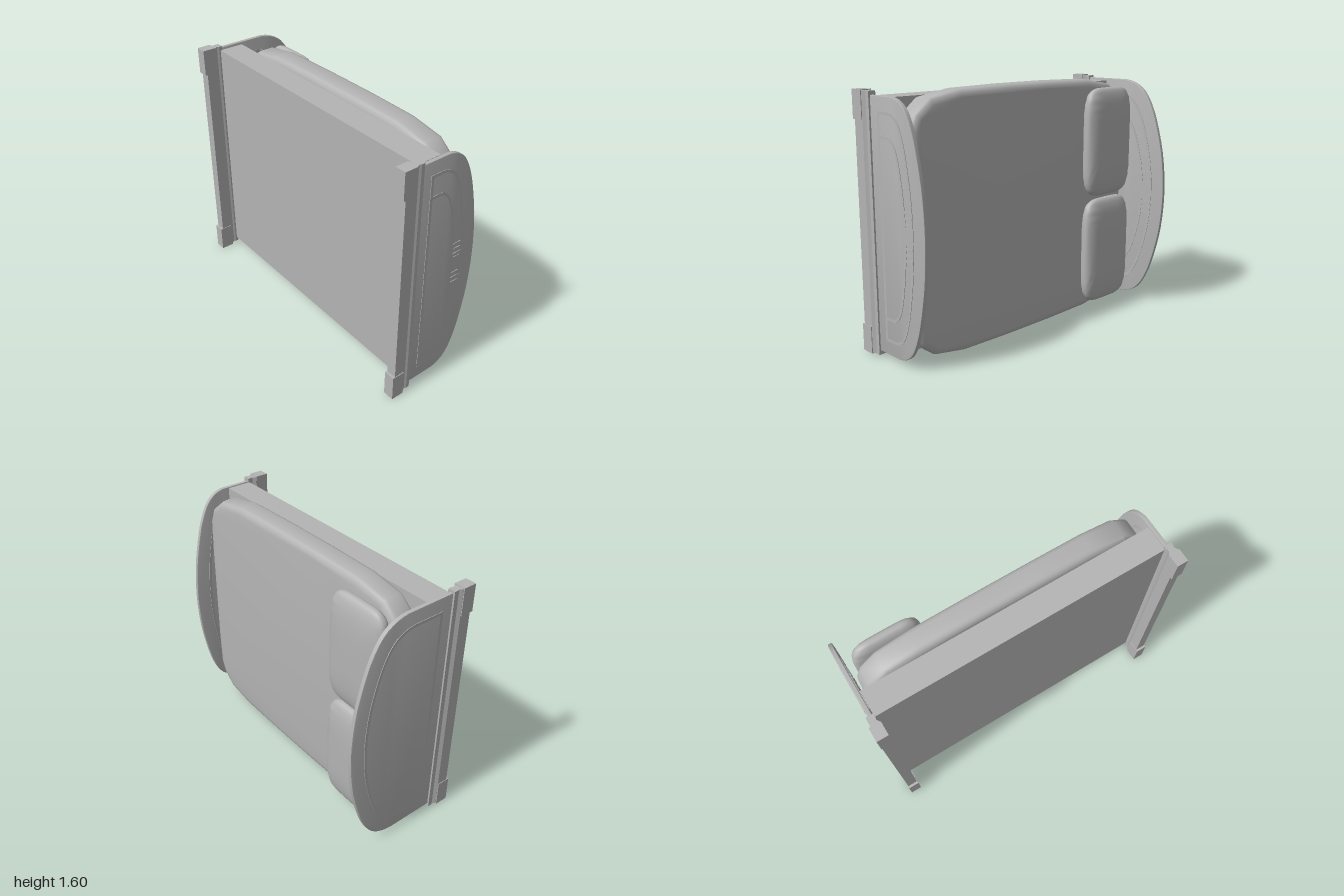
import * as THREE from 'three';
import { toCreasedNormals } from 'three/addons/utils/BufferGeometryUtils.js';

// A double bed lying on its side: length along x, width along y, its upper side towards -z.
const MID = 0.8; // middle of the bed's width

export function createModel() {
  const bed = new THREE.Group();
  bed.name = 'bed';
  const grey = new THREE.MeshStandardMaterial({ color: 0xb4b4b4 });
  grey.name = 'plain grey';

  const add = (parent, name, geometry, x = 0, y = 0, z = 0) => {
    const mesh = new THREE.Mesh(geometry, grey);
    mesh.name = name;
    mesh.position.set(x, y, z);
    parent.add(mesh);
    return mesh;
  };

  // Turns a shape drawn in (y, z) and extruded forward into a plate facing x
  const toSide = new THREE.Matrix4().makeBasis(
    new THREE.Vector3(0, 1, 0), new THREE.Vector3(0, 0, 1), new THREE.Vector3(1, 0, 0));

  // Arched outline: straight base, straight sides, bowed top
  const ARCH = [[1, 0], [0.98, 0.2], [0.92, 0.43], [0.8, 0.62], [0.62, 0.78], [0.33, 0.94]];
  const archPoints = ([half, base, shoulder, top]) => {
    const knots = [...ARCH, [0, 1], ...ARCH.slice().reverse().map(([u, v]) => [-u, v])]
      .map(([u, v]) => new THREE.Vector2(u * half, shoulder + v * (top - shoulder)));
    return [new THREE.Vector2(-half, base), new THREE.Vector2(half, base),
      ...new THREE.SplineCurve(knots).getPoints(40)];
  };
  const plate = (shape, depth, bevel = 0) => {
    const g = new THREE.ExtrudeGeometry(shape, {
      depth: depth - 2 * bevel, bevelEnabled: bevel > 0, bevelSize: bevel,
      bevelThickness: bevel, bevelOffset: -bevel, bevelSegments: 2,
    });
    g.translate(0, 0, -(depth - 2 * bevel) / 2);
    return toCreasedNormals(g.applyMatrix4(toSide), 0.6);
  };
  const moulding = (arch) => {
    const [half, base, shoulder, top] = arch;
    const w = 0.018;
    const ring = new THREE.Shape(archPoints(arch));
    ring.holes.push(new THREE.Path(archPoints([half - w, base - w, shoulder, top + w])));
    return plate(ring, 0.008);
  };

  // Foot rail section (x, z), run along the width
  const RAIL = [[0.024, 0.2], [0.024, 0.222], [0.019, 0.236], [0.031, 0.258], [0.033, 0.33]];
  const rail = () => {
    const pts = [...RAIL, ...RAIL.slice().reverse().map(([x, z]) => [-x, z])];
    const shape = new THREE.Shape(pts.map(([x, z]) => new THREE.Vector2(x, -z)));
    const g = new THREE.ExtrudeGeometry(shape, { depth: 1.58, bevelEnabled: false });
    return g.rotateX(-Math.PI / 2); // shape y becomes -z, depth becomes y
  };

  // Head and foot boards with rails, feet and mouldings
  const buildBoard = (name, x, outline, outerArch, innerArch) => {
    const board = new THREE.Group();
    board.name = name;
    board.position.x = x;
    bed.add(board);
    add(board, 'panel', plate(new THREE.Shape(archPoints(outline)), 0.026, 0.005), 0, MID);
    add(board, 'footRail', rail(), 0, 0.008);
    for (const y of [0.088, 1.507]) {
      add(board, 'foot', new THREE.BoxGeometry(0.072, 0.172, 0.086), 0, y, 0.303);
    }
    for (const side of [-1, 1]) {
      add(board, 'outerMoulding', moulding(outerArch), side * 0.012, MID);
    }
    add(board, 'innerMoulding', moulding(innerArch), 0.012, MID);
    // Carved bands in the middle of the arch
    const z = (outerArch[3] + innerArch[3]) / 2;
    const span = Math.abs(outerArch[3] - innerArch[3]);
    for (const s of [-1, 1]) {
      for (const d of [0.07, 0.105, 0.14]) {
        add(board, 'carvedBand', new THREE.BoxGeometry(0.008, 0.016, span), 0.013, MID + s * d, z + 0.006);
      }
    }
    add(board, 'carvedCentre', new THREE.BoxGeometry(0.006, 0.1, span), 0.013, MID, z + 0.006);
  };
  // Each arch: half width, base, shoulder, top
  buildBoard('headboard', -0.962, [0.775, 0.212, -0.12, -0.469],
    [0.69, 0.135, -0.07, -0.375], [0.56, 0.135, -0.05, -0.3]);
  buildBoard('footboard', 0.945, [0.765, 0.212, 0.0, -0.26],
    [0.68, 0.135, 0.03, -0.16], [0.545, 0.135, 0.05, -0.092]);

  // Bed base
  add(bed, 'bedBase', new THREE.BoxGeometry(1.87, 1.52, 0.167), -0.008, MID, 0.1285);

  // Mattress with cut corners and softened edges
  const quarter = [[0.93, 0.35], [0.922, 0.58], [0.885, 0.67], [0.78, 0.755], [0.56, 0.792], [0.2, 0.799]];
  const back = quarter.slice().reverse();
  const outline = [
    ...quarter, ...back.map(([x, y]) => [-x, y]),
    ...quarter.map(([x, y]) => [-x, -y]), ...back.map(([x, y]) => [x, -y]),
  ].map(([x, y]) => new THREE.Vector2(x, y));
  const mattress = new THREE.ExtrudeGeometry(new THREE.Shape(outline), {
    depth: 0.092, bevelSize: 0.045, bevelThickness: 0.036, bevelOffset: -0.045, bevelSegments: 3,
  });
  add(bed, 'mattress', toCreasedNormals(mattress, 0.6), 0, MID, -0.088);

  // Plump, slightly wrinkled pillows
  const pillow = () => {
    const g = new THREE.SphereGeometry(1, 48, 32).rotateX(Math.PI / 2);
    const p = g.attributes.position;
    const soft = (v, e) => Math.sign(v) * Math.abs(v) ** e;
    for (let i = 0; i < p.count; i++) {
      const x = p.getX(i), y = p.getY(i), z = p.getZ(i);
      const r = Math.hypot(x, y) || 1;
      const grow = r ** 0.6;
      const u = soft(x / r, 0.4) * grow, v = soft(y / r, 0.4) * grow;
      const wrinkle = 0.004 * Math.sin(v * 38) * u * u * (1 - Math.abs(z));
      p.setXYZ(i, u * 0.222, v * 0.365, soft(z, 0.8) * 0.062 + wrinkle);
    }
    g.computeVertexNormals();
    return g;
  };
  for (const y of [0.425, 1.175]) add(bed, 'pillow', pillow(), -0.68, y, -0.183);

  // The whole bed is turned slightly about the vertical
  bed.rotation.y = 0.06;
  const model = new THREE.Group();
  model.name = 'bedOnItsSide';
  model.add(bed);
  return model;
}
